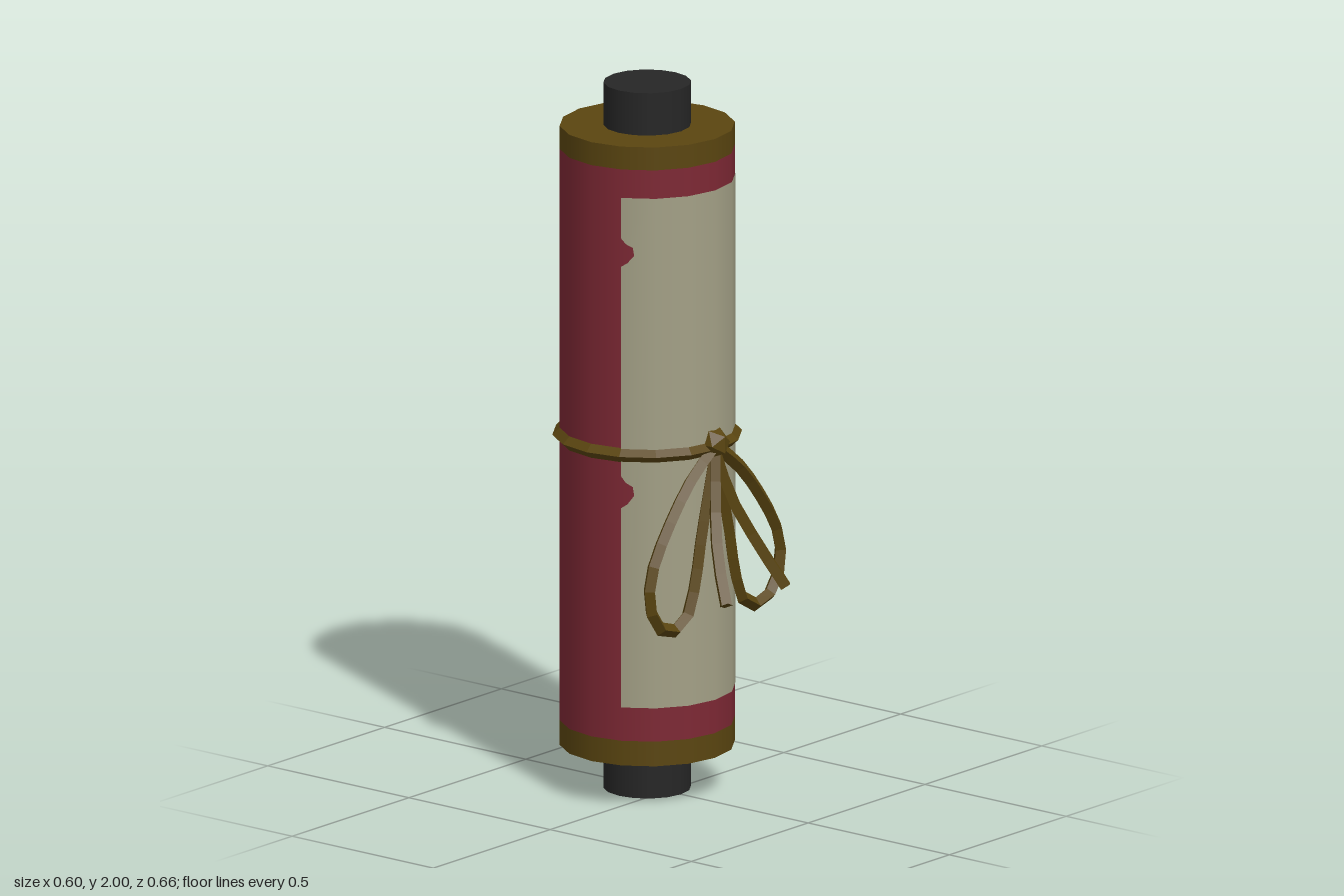
import * as THREE from 'three';

const mat = (name, color) => Object.assign(new THREE.MeshStandardMaterial({ color }), { name });
const AXIS_Z = -0.07, R = 0.24, SIDES = 16, CORD = 0.02;
const STEP = (Math.PI * 2) / SIDES;

// Faceted copy of a geometry
function faceted(geometry) {
  const g = geometry.index ? geometry.toNonIndexed() : geometry;
  g.computeVertexNormals();
  return g;
}

// One flat facet strip of the paper label, with torn notches along its outer edge
function tornStrip(side, y0, y1, notches, radius) {
  const s = new THREE.Shape();
  s.moveTo(0, y0);
  s.lineTo(1, y0);
  for (const [y, h] of notches) {
    s.lineTo(1, y - h);
    s.lineTo(0.82, y - h * 0.75);
    s.lineTo(0.62, y - h * 0.2);
    s.lineTo(0.66, y + h * 0.35);
    s.lineTo(0.86, y + h * 0.6);
    s.lineTo(1, y + h);
  }
  s.lineTo(1, y1);
  s.lineTo(0, y1);
  const g = new THREE.ShapeGeometry(s);
  const p = g.attributes.position, n = g.attributes.normal;
  const a = STEP * 2, b = STEP * 3;
  for (let i = 0; i < p.count; i++) {
    const t = p.getX(i), ang = a + (b - a) * t;
    const x = radius * THREE.MathUtils.lerp(Math.sin(a), Math.sin(b), t);
    const z = radius * THREE.MathUtils.lerp(Math.cos(a), Math.cos(b), t);
    p.setXYZ(i, side * x, p.getY(i), z);
    n.setXYZ(i, side * Math.sin(ang), 0, Math.cos(ang));
  }
  // Mirroring reverses the corner order
  if (side < 0) g.setIndex(Array.from(g.index.array).reverse());
  return g;
}

export function createModel() {
  const model = new THREE.Group();
  model.name = 'scroll';
  const red = mat('red cloth', 0x7d2834);
  const cream = mat('cream paper', 0xa3a086);
  const gold = mat('dark gold', 0x5a4510);
  const black = mat('black wood', 0x262626);

  const add = (name, geometry, material, x = 0, y = 0, z = 0) => {
    const m = new THREE.Mesh(geometry, material);
    m.name = name;
    m.position.set(x, y, z);
    model.add(m);
    return m;
  };
  const cylinder = (name, radius, y0, y1, material, open = false) =>
    add(name, new THREE.CylinderGeometry(radius, radius, y1 - y0, SIDES, 1, open),
      material, 0, (y0 + y1) / 2, AXIS_Z);

  // Roll, end bands and rod ends
  cylinder('clothRoll', R, 0.195, 1.815, red, true);
  cylinder('lowerBand', R, 0.125, 0.195, gold);
  cylinder('upperBand', R, 1.815, 1.88, gold);
  cylinder('lowerRodEnd', 0.12, 0, 0.126, black);
  cylinder('upperRodEnd', 0.12, 1.879, 2, black);

  // Paper label wrapped round the front
  const y0 = 0.29, y1 = 1.735, labelR = R + 0.002;
  add('paperLabel', new THREE.CylinderGeometry(labelR, labelR, y1 - y0, 4, 1, true, -STEP * 2, STEP * 4),
    cream, 0, (y0 + y1) / 2, AXIS_Z);
  add('paperLeftEdge', tornStrip(1, y0, y1, [[0.52, 0.05], [1.2, 0.045]], labelR), cream, 0, 0, AXIS_Z);
  add('paperRightEdge', tornStrip(-1, y0, y1, [[0.9, 0.045], [1.58, 0.04]], labelR), cream, 0, 0, AXIS_Z);

  // Cord round the middle
  const ring = add('cordRing', faceted(new THREE.TorusGeometry(R, CORD, 4, SIDES)), gold, 0, 1.005, AXIS_Z);
  ring.rotation.x = Math.PI / 2;

  // Knot
  add('knot', faceted(new THREE.IcosahedronGeometry(0.045, 0)), gold, 0, 1.018, 0.168);

  const cord = (name, points, segments) => {
    const curve = new THREE.CatmullRomCurve3(points.map((p) => new THREE.Vector3(...p)));
    add(name, faceted(new THREE.TubeGeometry(curve, segments, CORD, 4)), gold);
    return curve;
  };

  // Bow loops and loose tails
  for (const [label, s] of [['left', 1], ['right', -1]]) {
    cord(label + 'BowLoop', [
      [0, 1.01], [0.1, 0.935], [0.2, 0.82], [0.268, 0.71], [0.28, 0.625], [0.245, 0.55],
      [0.18, 0.522], [0.12, 0.55], [0.085, 0.64], [0.06, 0.76], [0.025, 0.9], [0, 1.0],
    ].map(([x, y]) => [s * x, y, 0.17]), 18);

    const tail = cord(label + 'Tail', [
      [0, 1.0, 0.17], [s * 0.035, 0.86, 0.2], [s * 0.085, 0.73, 0.25], [s * 0.127, 0.61, 0.315],
    ], 5);
    const end = tail.getPoint(1);
    const cap = add(label + 'TailEnd', new THREE.CircleGeometry(CORD, 4), gold, end.x, end.y, end.z);
    cap.lookAt(end.clone().add(tail.getTangent(1)));
  }
  return model;
}
